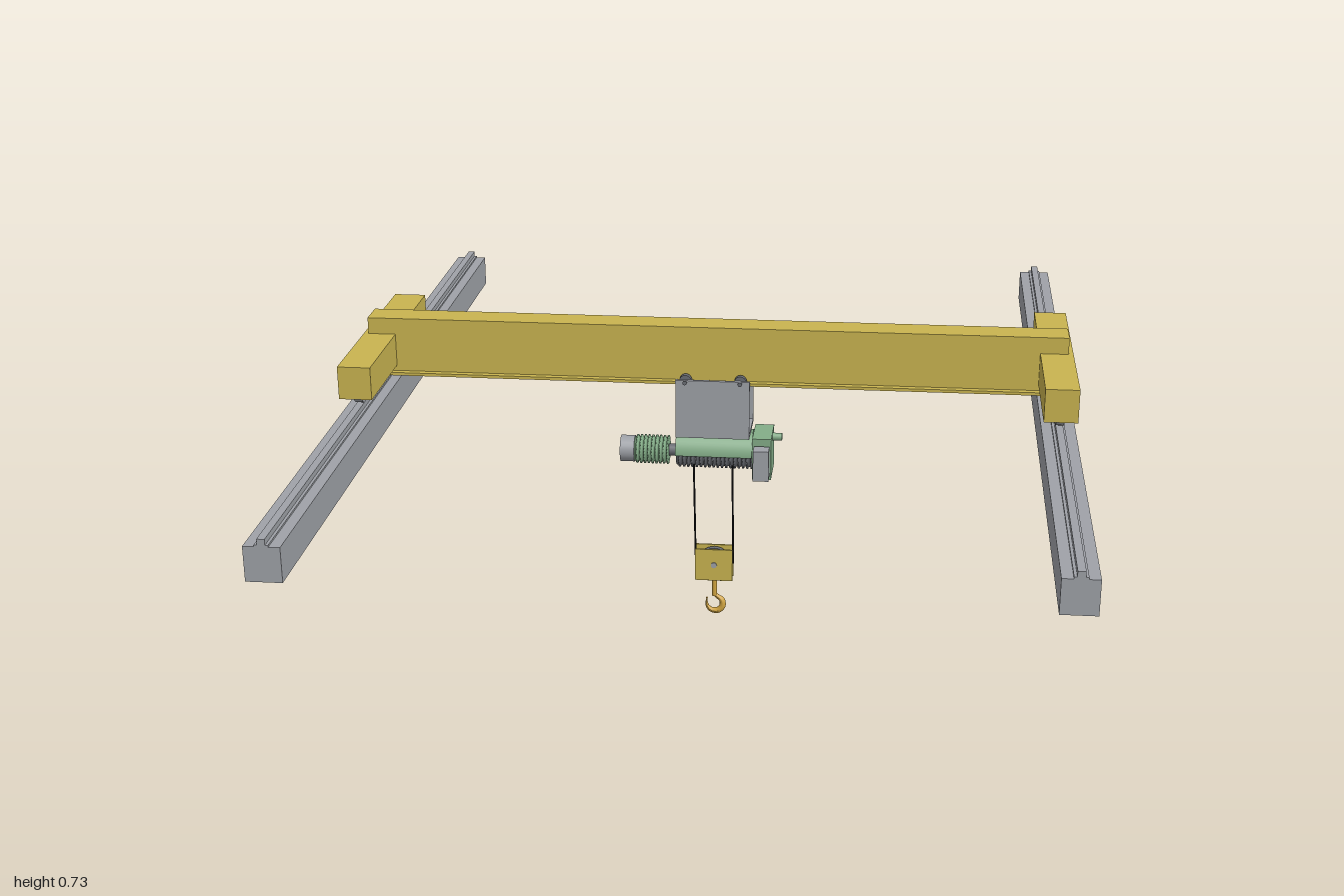
import * as THREE from 'three';

const mat = (name, color, side = THREE.FrontSide) => {
  const m = new THREE.MeshStandardMaterial({ color, side });
  m.name = name;
  return m;
};

export function createModel() {
  const yellow = mat('craneYellow', 0xc9b450);
  const grey = mat('steelGrey', 0x9fa2a8);
  const dark = mat('darkSteel', 0x6a6d73);
  const green = mat('hoistGreen', 0x84ad88);
  const greenShell = mat('hoistGreenShell', 0x84ad88, THREE.DoubleSide);
  greenShell.color = green.color;
  const gold = mat('hookGold', 0xd0a440);
  const black = mat('ropeBlack', 0x1a1a1a);

  const model = new THREE.Group();
  model.name = 'overheadCrane';
  const group = (name, parent = model) => {
    const g = new THREE.Group();
    g.name = name;
    parent.add(g);
    return g;
  };
  const add = (parent, name, geo, material, x = 0, y = 0, z = 0) => {
    const m = new THREE.Mesh(geo, material);
    m.name = name;
    m.position.set(x, y, z);
    parent.add(m);
    return m;
  };
  // Box given by its extents on each axis
  const box = (parent, name, material, x0, x1, y0, y1, z0, z1) =>
    add(parent, name, new THREE.BoxGeometry(x1 - x0, y1 - y0, z1 - z0), material,
      (x0 + x1) / 2, (y0 + y1) / 2, (z0 + z1) / 2);
  const cylX = (r, len, seg = 24) => new THREE.CylinderGeometry(r, r, len, seg).rotateZ(Math.PI / 2);
  const cylZ = (r, len, seg = 24) => new THREE.CylinderGeometry(r, r, len, seg).rotateX(Math.PI / 2);

  // Main girder with its wider running flange
  const girder = group('girder');
  box(girder, 'girderBeam', yellow, -0.8, 0.8, 0.607, 0.733, -0.035, 0.035);
  box(girder, 'girderFlange', yellow, -0.8, 0.8, 0.6, 0.607, -0.05, 0.05);

  // Runways and end trucks, mirrored on both sides
  for (const s of [-1, 1]) {
    const c = s * 0.774;
    const runway = group(s > 0 ? 'leftRunway' : 'rightRunway');
    box(runway, 'runwayBeam', grey, c - 0.037, c + 0.037, 0.508, 0.582, -1, 1);
    box(runway, 'railFoot', grey, c - 0.014, c + 0.014, 0.582, 0.586, -1, 1);
    box(runway, 'railHead', grey, c - 0.008, c + 0.008, 0.586, 0.598, -1, 1);

    // Channel open at the bottom
    const truck = group(s > 0 ? 'leftEndTruck' : 'rightEndTruck');
    box(truck, 'truckTop', yellow, c - 0.037, c + 0.037, 0.687, 0.695, -0.275, 0.275);
    for (const t of [-1, 1]) {
      const px = c + t * 0.0335;
      box(truck, 'truckSide', yellow, px - 0.0035, px + 0.0035, 0.62, 0.687, -0.275, 0.275);
      const pz = t * 0.2715;
      box(truck, 'truckEnd', yellow, c - 0.03, c + 0.03, 0.62, 0.687, pz - 0.0035, pz + 0.0035);
      add(truck, 'truckWheel', cylX(0.036, 0.018, 32), grey, c, 0.634, t * 0.225);
      add(truck, 'truckAxle', cylX(0.008, 0.06, 12), dark, c, 0.634, t * 0.225);
    }
  }

  // Trolley: U-shaped bracket with four small wheels on the flange
  const trolley = group('trolley');
  box(trolley, 'bracketBase', grey, -0.085, 0.085, 0.475, 0.483, -0.063, 0.063);
  for (const t of [-1, 1]) {
    box(trolley, 'bracketPlate', grey, -0.085, 0.085, 0.483, 0.614, t * 0.059 - 0.004, t * 0.059 + 0.004);
    for (const x of [-0.063, 0.063]) {
      add(trolley, 'trolleyWheel', cylZ(0.014, 0.013), dark, x, 0.609 + 0.0005, t * 0.047);
      add(trolley, 'trolleyAxle', cylZ(0.005, 0.006, 12), dark, x, 0.609, t * 0.064);
    }
  }

  // Ridged body of revolution along x, from x0 to x1
  const ridged = (x0, x1, rLow, rHigh, n) => {
    const pts = [new THREE.Vector2(0, x0)];
    const step = (x1 - x0) / n;
    for (let i = 0; i < n; i++) {
      const a = x0 + i * step;
      pts.push(new THREE.Vector2(rLow, a), new THREE.Vector2(rLow, a + step * 0.45),
        new THREE.Vector2(rHigh, a + step * 0.55), new THREE.Vector2(rHigh, a + step * 0.9));
    }
    pts.push(new THREE.Vector2(rLow, x1), new THREE.Vector2(0, x1));
    return new THREE.LatheGeometry(pts, 28).toNonIndexed().rotateZ(-Math.PI / 2);
  };

  // Hoist: grooved drum under a half-round cover, gearbox and motor
  const hoist = group('hoist');
  const axisY = 0.424;
  add(hoist, 'drum', ridged(-0.088, 0.09, 0.038, 0.043, 18), dark, 0, axisY, 0);
  const cover = new THREE.CylinderGeometry(0.051, 0.051, 0.178, 28, 1, true, 0, Math.PI).rotateZ(Math.PI / 2);
  add(hoist, 'drumCover', cover, greenShell, 0.001, axisY, 0);
  for (const x of [-0.088, 0.09]) {
    const half = new THREE.CircleGeometry(0.051, 28, 0, Math.PI).rotateY(Math.PI / 2);
    add(hoist, 'coverEnd', half, greenShell, x, axisY, 0);
  }
  box(hoist, 'gearbox', green, 0.091, 0.135, 0.372, 0.472, -0.05, 0.05);
  add(hoist, 'brakeStub', cylX(0.009, 0.024, 16), green, 0.145, 0.461, 0);
  box(hoist, 'controlBox', grey, 0.096, 0.132, 0.385, 0.458, 0.06, 0.094);
  box(hoist, 'controlBoxMount', grey, 0.105, 0.123, 0.41, 0.435, 0.049, 0.061);
  add(hoist, 'motorShaft', cylX(0.014, 0.03, 16), dark, -0.098, 0.42, 0);
  add(hoist, 'motorBody', ridged(-0.188, -0.107, 0.029, 0.034, 9), green, 0, 0.42, 0);
  add(hoist, 'motorFanCover', cylX(0.031, 0.033), grey, -0.204, 0.42, 0);

  // Lifting ropes from the drum to the sheave
  for (const x of [-0.046, 0.044]) {
    const path = new THREE.LineCurve3(new THREE.Vector3(x, 0.4, 0.036), new THREE.Vector3(x, 0.135, 0));
    add(model, 'rope', new THREE.TubeGeometry(path, 1, 0.0022, 8), black);
  }

  // Hook block: two cheek plates around a sheave
  const block = group('hookBlock');
  for (const t of [-1, 1]) {
    box(block, 'cheekPlate', yellow, -0.046, 0.043, 0.095, 0.175, t * 0.0155 - 0.002, t * 0.0155 + 0.002);
  }
  add(block, 'sheave', cylZ(0.039, 0.012, 32), dark, -0.001, 0.135, 0);
  add(block, 'sheavePin', cylZ(0.007, 0.04, 16), grey, -0.001, 0.135, 0);
  box(block, 'crosshead', yellow, -0.02, 0.018, 0.093, 0.1, -0.0135, 0.0135);

  // Hook: shank and a tapered curl
  const hook = group('hook');
  add(hook, 'shank', new THREE.CylinderGeometry(0.006, 0.006, 0.05, 16), gold, -0.001, 0.073, 0);
  const curl = new THREE.CatmullRomCurve3([
    [0, 0.052], [0.006, 0.046], [0.017, 0.037], [0.018, 0.021], [0.008, 0.01],
    [-0.008, 0.01], [-0.018, 0.02], [-0.02, 0.034], [-0.019, 0.041],
  ].map(([x, y]) => new THREE.Vector3(x, y, 0)));
  const segs = 40, sides = 12;
  const tube = new THREE.TubeGeometry(curl, segs, 1, sides);
  const pos = tube.attributes.position;
  for (let i = 0; i <= segs; i++) {
    const u = i / segs, p = curl.getPointAt(u);
    const r = 0.0045 + 0.0045 * Math.sin(Math.PI * Math.min(1, u * 1.05)) - 0.003 * u;
    for (let j = 0; j <= sides; j++) {
      const k = i * (sides + 1) + j;
      const v = new THREE.Vector3().fromBufferAttribute(pos, k).sub(p).multiplyScalar(r).add(p);
      pos.setXYZ(k, v.x, v.y, v.z);
    }
  }
  tube.computeVertexNormals();
  add(hook, 'hookCurl', tube, gold);
  add(hook, 'hookTip', new THREE.SphereGeometry(0.0024, 10, 8), gold, -0.019, 0.041, 0);

  return model;
}
